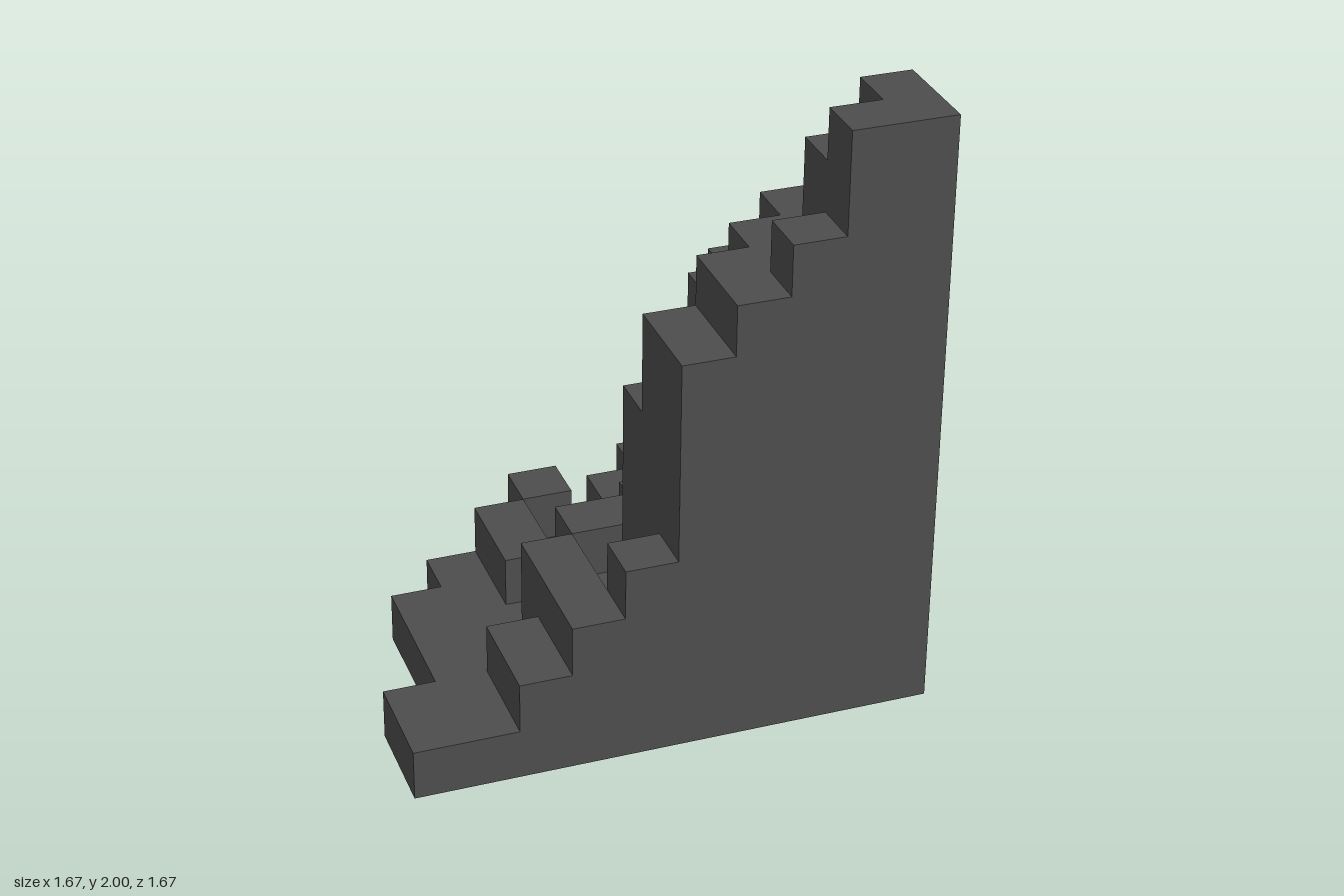
import * as THREE from 'three';
import { mergeGeometries } from 'three/addons/utils/BufferGeometryUtils.js';

const CELL = 1 / 6;

// Column heights in cells (hex digits): rows run back to front, characters run along +x
const HEIGHTS = [
  '.........1',
  '.......111',
  '......1121',
  '....211123',
  '..12112224',
  '.112124778',
  '.111336899',
  '.11326699a',
  '11232899bc',
  '1123489acc',
];

const DIRECTIONS = [
  [1, 0, 0], [-1, 0, 0], [0, 1, 0], [0, -1, 0], [0, 0, 1], [0, 0, -1],
];

// Hollow under the rock overhang
const isHollow = (x, y, z) => x === 7 && z === 5 && (y === 4 || y === 5);

function isSolid(x, y, z) {
  const c = HEIGHTS[z]?.[x];
  if (!c || c === '.' || y < 0) return false;
  return y < parseInt(c, 16) && !isHollow(x, y, z);
}

// One square per exposed cell side, for the layers from y0 up to y1
function layerGeometry(y0, y1) {
  const faces = [];
  for (let y = y0; y < y1; y++) {
    for (let z = 0; z < 10; z++) {
      for (let x = 0; x < 10; x++) {
        if (!isSolid(x, y, z)) continue;
        for (const [dx, dy, dz] of DIRECTIONS) {
          if (isSolid(x + dx, y + dy, z + dz)) continue;
          const face = new THREE.PlaneGeometry(CELL, CELL);
          face.lookAt(new THREE.Vector3(dx, dy, dz));
          face.translate(
            (x - 4.5 + dx / 2) * CELL,
            (y + 0.5 + dy / 2) * CELL,
            (z - 4.5 + dz / 2) * CELL,
          );
          faces.push(face);
        }
      }
    }
  }
  return mergeGeometries(faces);
}

export function createModel() {
  const group = new THREE.Group();
  group.name = 'blockyCornerRock';
  const stone = new THREE.MeshStandardMaterial({ color: 0x4d4d4d });
  stone.name = 'dark stone';

  // Rock sections from the ground up
  const sections = [
    ['basePlate', 0, 1],
    ['lowerSteps', 1, 4],
    ['cliff', 4, 8],
    ['upperLedges', 8, 10],
    ['peak', 10, 12],
  ];
  for (const [name, y0, y1] of sections) {
    const mesh = new THREE.Mesh(layerGeometry(y0, y1), stone);
    mesh.name = name;
    group.add(mesh);
  }
  return group;
}
